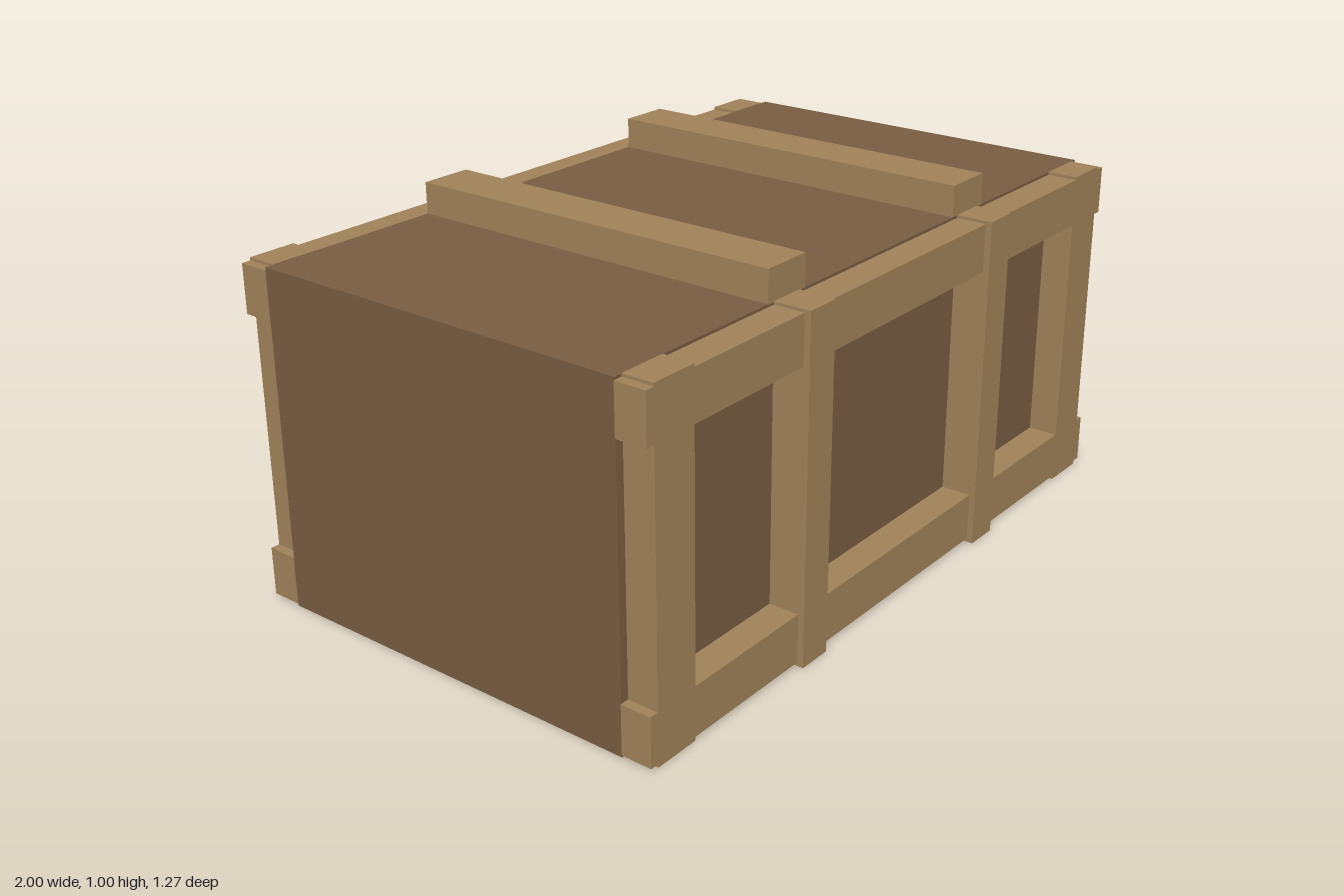
import * as THREE from 'three';

export function createModel() {
  const crate = new THREE.Group();
  crate.name = 'crate';
  const darkWood = new THREE.MeshStandardMaterial({ name: 'dark wood', color: 0x775c41 });
  const lightWood = new THREE.MeshStandardMaterial({ name: 'light wood', color: 0xa08259 });

  // Box given by its minimum and maximum corners
  function plank(name, material, min, max, parent = crate) {
    const size = max.map((v, i) => v - min[i]);
    const mesh = new THREE.Mesh(new THREE.BoxGeometry(...size), material);
    mesh.position.set(...max.map((v, i) => (v + min[i]) / 2));
    mesh.name = name;
    parent.add(mesh);
    return mesh;
  }

  const top = 0.917, bodyFront = 0.533, bodyBack = -0.55;

  // Solid body; its faces form the recessed panels
  plank('body', darkWood, [-0.998, 0.003, bodyBack], [0.998, top - 0.001, bodyFront]);

  // Front and back frames: full-width rails crossed by slightly taller posts
  const frames = [['frontFrame', bodyFront, 0.617], ['backFrame', -0.634, bodyBack]];
  for (const [name, z0, z1] of frames) {
    const frame = new THREE.Group();
    frame.name = name;
    crate.add(frame);
    plank('bottomRail', lightWood, [-1, 0.01, z0], [1, 0.142, z1], frame);
    plank('topRail', lightWood, [-1, 0.779, z0], [1, 0.909, z1], frame);
    plank('rightPost', lightWood, [-0.975, 0, z0], [-0.843, top, z1], frame);
    plank('leftPost', lightWood, [0.843, 0, z0], [0.975, top, z1], frame);
  }

  // Lid battens, each with a vertical strap on the front
  for (const [side, x] of [['right', -0.4], ['left', 0.4]]) {
    plank(side + 'LidBatten', lightWood, [x - 0.072, top - 0.002, bodyBack], [x + 0.072, 1, bodyFront]);
    plank(side + 'FrontStrap', lightWood, [x - 0.049, 0, bodyFront], [x + 0.049, top, 0.634]);
  }
  return crate;
}
